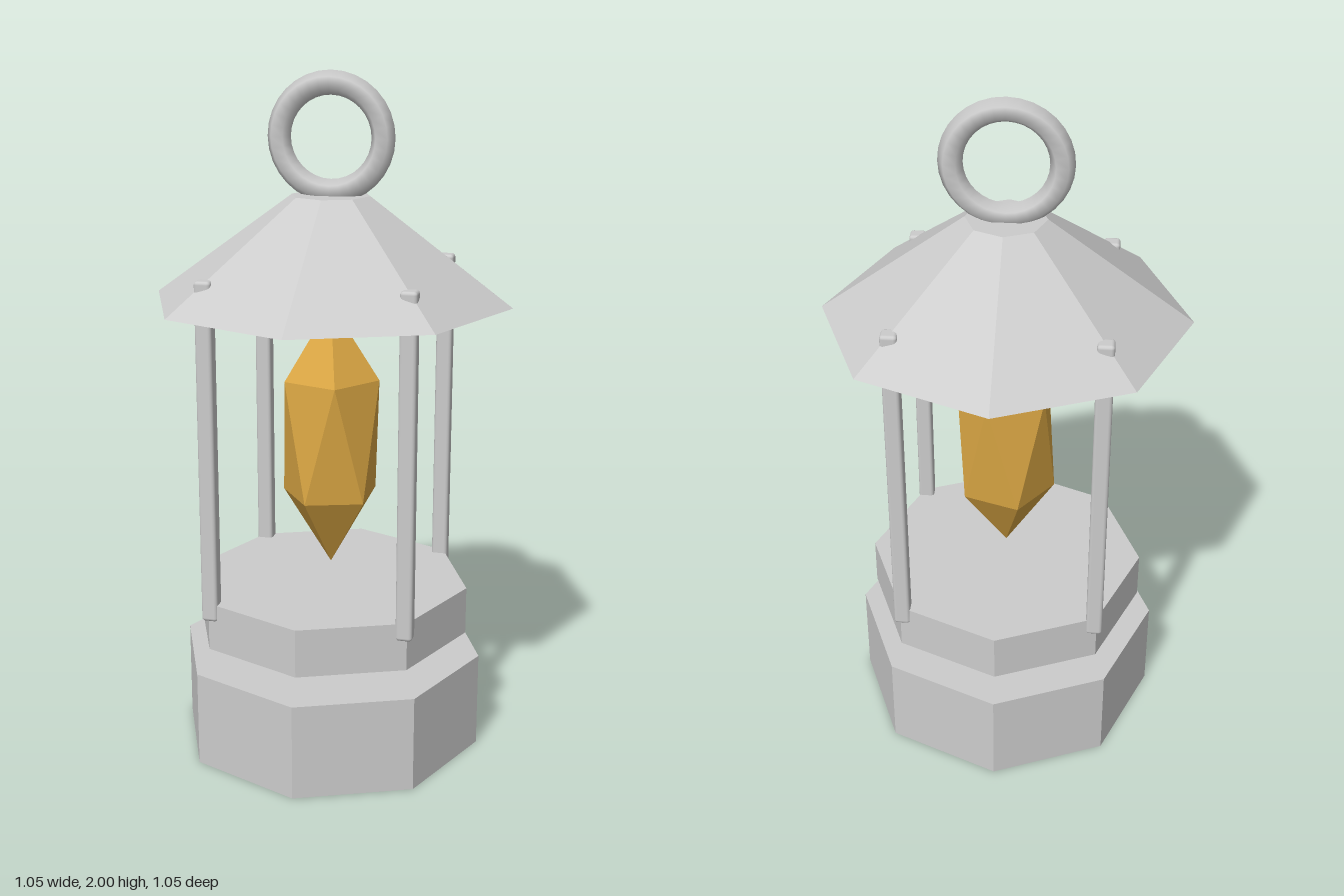
import * as THREE from 'three';
import { RoundedBoxGeometry } from 'three/addons/geometries/RoundedBoxGeometry.js';
import { ConvexGeometry } from 'three/addons/geometries/ConvexGeometry.js';

export function createModel() {
  const lantern = new THREE.Group();
  lantern.name = 'lantern';

  const metal = new THREE.MeshStandardMaterial({ name: 'pale metal', color: 0xcccccc });
  const facetedMetal = metal.clone();
  facetedMetal.flatShading = true;
  const amber = new THREE.MeshStandardMaterial({ name: 'amber', color: 0xdba744, flatShading: true });

  const add = (name, geometry, material, x, y, z) => {
    const mesh = new THREE.Mesh(geometry, material);
    mesh.name = name;
    mesh.position.set(x, y, z);
    lantern.add(mesh);
    return mesh;
  };

  // Eight-sided tiers with corners on the axes
  const octagon = (name, topRadius, bottomRadius, y0, y1) =>
    add(name, new THREE.CylinderGeometry(topRadius, bottomRadius, y1 - y0, 8), facetedMetal, 0, (y0 + y1) / 2, 0);
  octagon('base', 0.457, 0.457, 0, 0.286);
  octagon('upperBase', 0.415, 0.415, 0.358, 0.501);
  octagon('roof', 0.114, 0.525, 1.355, 1.655);

  // Four corner posts whose tips poke through the roof
  const postGeometry = new RoundedBoxGeometry(0.048, 1.0, 0.048, 2, 0.01);
  for (const x of [-1, 1]) {
    for (const z of [-1, 1]) add('post', postGeometry, metal, x * 0.286, 0.951, z * 0.286);
  }

  // Crystal: two offset pentagon rings between two points
  const points = [new THREE.Vector3(0, 0.396, 0), new THREE.Vector3(0, -0.396, 0)];
  for (let i = 0; i < 5; i++) {
    const a = (i / 5) * Math.PI * 2;
    const x = Math.cos(a) * 0.145, z = Math.sin(a) * 0.145;
    points.push(new THREE.Vector3(x, 0.177, z), new THREE.Vector3(-x, -0.177, -z));
  }
  add('crystal', new ConvexGeometry(points), amber, 0, 0.946, 0);

  // Hanging ring
  add('hangingRing', new THREE.TorusGeometry(0.15, 0.034, 6, 32), metal, 0, 1.816, 0);

  return lantern;
}
